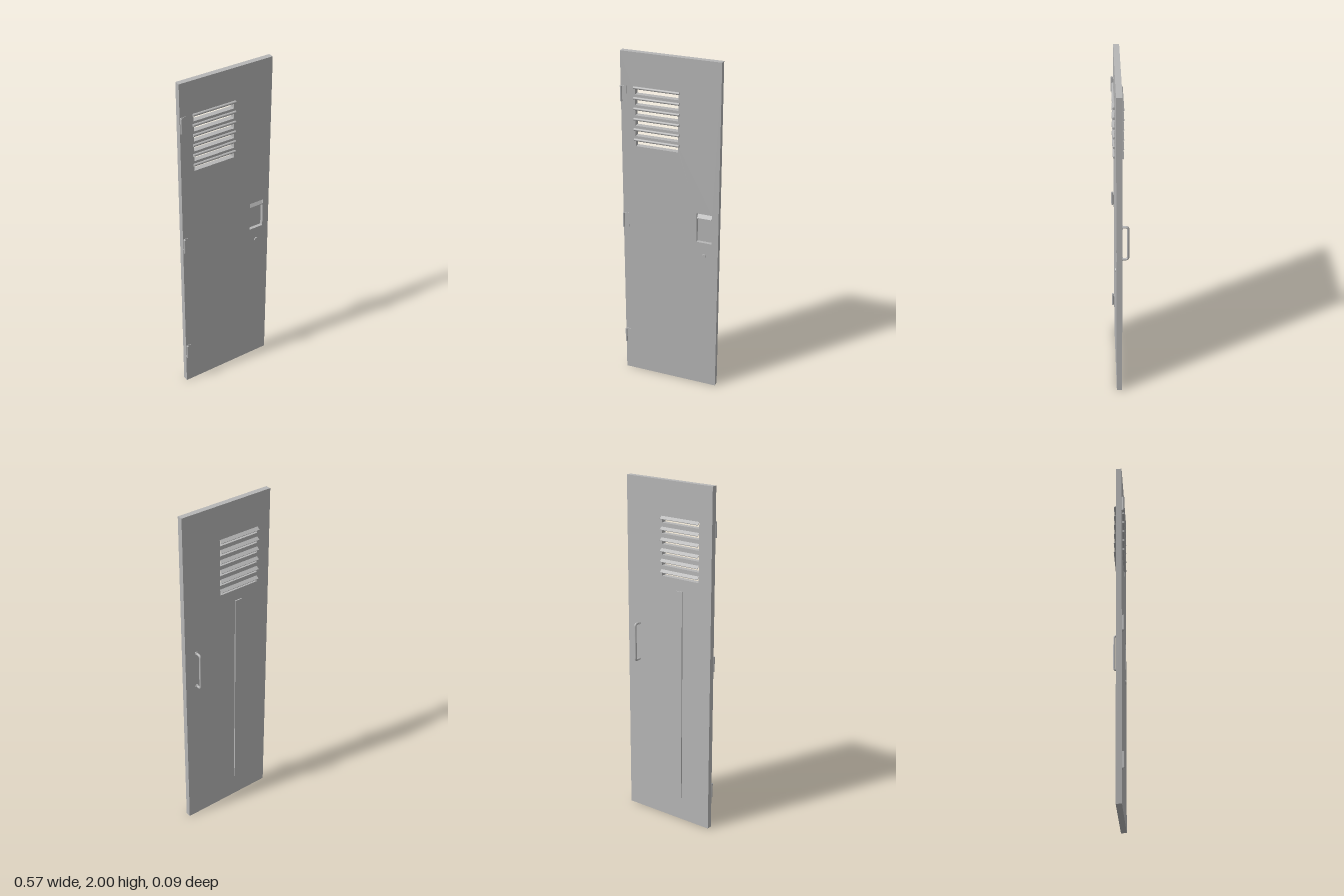
import * as THREE from 'three';

export function createModel() {
  const model = new THREE.Group();
  const steel = new THREE.MeshStandardMaterial({ color: 0xb6b6b6 });
  steel.name = 'grey steel';

  const BACK = -0.004, FRONT = 0.028;
  const add = (name, geo, x = 0, y = 0, z = 0, parent = model) => {
    const mesh = new THREE.Mesh(geo, steel);
    mesh.name = name;
    mesh.position.set(x, y, z);
    parent.add(mesh);
    return mesh;
  };
  const group = (name) => {
    const g = new THREE.Group();
    g.name = name;
    model.add(g);
    return g;
  };
  const rect = (C, x0, y0, x1, y1) => {
    const p = new C();
    p.moveTo(x0, y0);
    p.lineTo(x1, y0);
    p.lineTo(x1, y1);
    p.lineTo(x0, y1);
    p.closePath();
    return p;
  };
  // Extrude a (z, y) profile along x
  const profileAlongX = (points, width) => {
    const shape = new THREE.Shape(points.map(([z, y]) => new THREE.Vector2(-z, y)));
    const geo = new THREE.ExtrudeGeometry(shape, { depth: width, bevelEnabled: false });
    return geo.translate(0, 0, -width / 2).rotateY(Math.PI / 2);
  };

  // Door panel with louvre slots and a latch pocket
  const slotTops = Array.from({ length: 6 }, (_, i) => 1.8 - i * 0.0596);
  const panel = rect(THREE.Shape, -0.285, 0, 0.285, 2);
  slotTops.forEach((y) => panel.holes.push(rect(THREE.Path, -0.202, y - 0.034, 0.046, y)));
  panel.holes.push(rect(THREE.Path, 0.157, 0.945, 0.246, 1.122));
  add('doorPanel', new THREE.ExtrudeGeometry(panel, { depth: FRONT - BACK, bevelEnabled: false }), 0, 0, BACK);

  // Louvres: rolled lip in front, sloping fin behind
  const louvres = group('louvres');
  const lip = new THREE.CylinderGeometry(0.0075, 0.0075, 0.262, 12).rotateZ(Math.PI / 2);
  const fin = profileAlongX([[BACK, 0.003], [BACK, 0], [-0.02, -0.013], [-0.021, -0.01]], 0.252);
  slotTops.forEach((y) => {
    add('louvreLip', lip, -0.078, y + 0.005, 0.0325, louvres);
    add('louvreFin', fin, -0.078, y, 0, louvres);
  });

  // Recessed pocket floor and sloping latch lever
  const latch = group('latch');
  add('pocketFloor', new THREE.BoxGeometry(0.089, 0.177, 0.012), 0.2015, 1.0335, BACK + 0.006, latch);
  add('latchLever', profileAlongX([[0.006, 0], [0.006, -0.032], [0.027, -0.032], [0.027, -0.027], [0.011, 0]], 0.085),
    0.2015, 1.121, 0, latch);

  // Keyhole button
  add('lockButton', new THREE.CylinderGeometry(0.011, 0.012, 0.005, 20).rotateX(Math.PI / 2), 0.204, 0.863, FRONT + 0.0025);

  // Hinges: barrel and leaf
  for (const y of [1.765, 1.008, 0.232]) {
    const hinge = group('hinge');
    add('hingeBarrel', new THREE.CylinderGeometry(0.006, 0.006, 0.088, 14), -0.28, y, 0.037, hinge);
    add('hingeLeaf', new THREE.BoxGeometry(0.03, 0.088, 0.003), -0.267, y, FRONT + 0.0015, hinge);
  }

  // Stiffener strip on the back
  add('stiffener', new THREE.BoxGeometry(0.042, 1.26, 0.007), -0.075, 0.77, BACK - 0.0035);

  // Bent rod pull handle with round mounts
  const handle = group('pullHandle');
  const path = new THREE.CurvePath();
  const v = (y, z) => new THREE.Vector3(0.211, y, z);
  path.add(new THREE.LineCurve3(v(0.944, BACK), v(0.944, -0.025)));
  path.add(new THREE.QuadraticBezierCurve3(v(0.944, -0.025), v(0.944, -0.038), v(0.958, -0.038)));
  path.add(new THREE.LineCurve3(v(0.958, -0.038), v(1.148, -0.038)));
  path.add(new THREE.QuadraticBezierCurve3(v(1.148, -0.038), v(1.162, -0.038), v(1.162, -0.025)));
  path.add(new THREE.LineCurve3(v(1.162, -0.025), v(1.162, BACK)));
  add('handleRod', new THREE.TubeGeometry(path, 80, 0.007, 12), 0, 0, 0, handle);
  for (const y of [0.944, 1.162]) {
    add('handleMount', new THREE.CylinderGeometry(0.011, 0.011, 0.005, 16).rotateX(Math.PI / 2), 0.211, y, BACK - 0.0025, handle);
  }

  return model;
}
